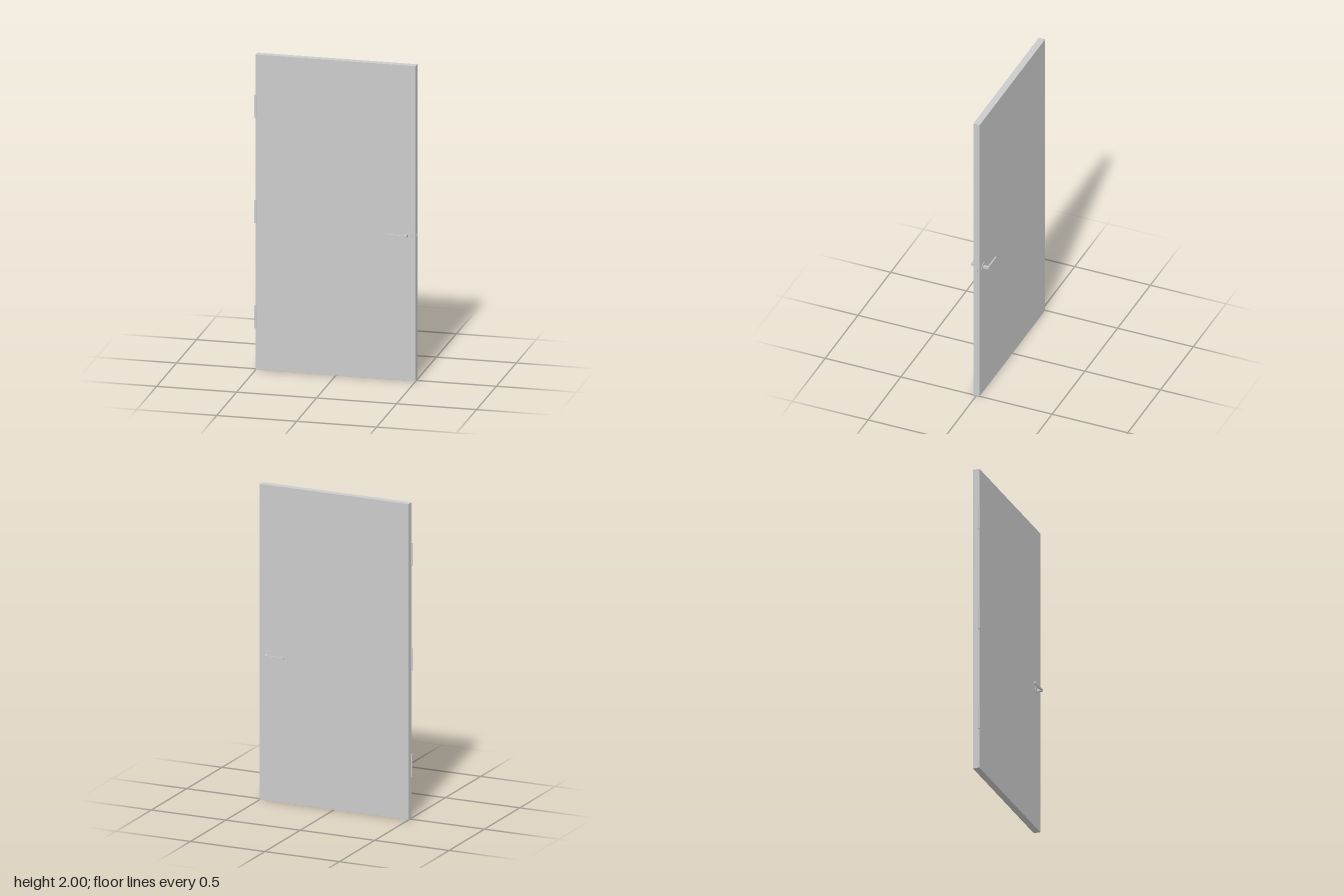
import * as THREE from 'three';

const material = new THREE.MeshStandardMaterial({ color: 0xcccccc });
const HALF = 0.021; // half the leaf thickness
const HANDLE_X = 0.445, HANDLE_Y = 0.922;

function add(parent, name, geometry, x = 0, y = 0, z = 0) {
  const mesh = new THREE.Mesh(geometry, material);
  mesh.name = name;
  mesh.position.set(x, y, z);
  parent.add(mesh);
  return mesh;
}

// Rosette, neck and lever, built facing +z
function createHandle(name) {
  const handle = new THREE.Group();
  handle.name = name;
  const rosette = new THREE.CylinderGeometry(0.029, 0.029, 0.004, 32).rotateX(Math.PI / 2);
  add(handle, 'rosette', rosette, 0, 0, 0.001);

  // L-shaped plan (x, depth), extruded through the lever height
  const plan = new THREE.Shape([
    [-0.007, 0], [0.007, 0], [0.007, 0.037], [-0.118, 0.037], [-0.118, 0.029], [-0.007, 0.029],
  ].map(([x, d]) => new THREE.Vector2(x, d)));
  const lever = new THREE.ExtrudeGeometry(plan, { depth: 0.016, bevelEnabled: false });
  lever.translate(0, 0, -0.008).rotateX(Math.PI / 2);
  add(handle, 'lever', lever);
  return handle;
}

export function createModel() {
  const door = new THREE.Group();
  door.name = 'door';
  add(door, 'leaf', new THREE.BoxGeometry(1, 2, HALF * 2), 0, 1, 0);

  // Three hinge barrels on the front edge
  [0.335, 1.005, 1.672].forEach((y, i) =>
    add(door, `hinge${i + 1}`, new THREE.CylinderGeometry(0.006, 0.006, 0.146, 16), -0.5, y, 0.019));

  // Handles on both faces
  for (const side of [1, -1]) {
    const handle = createHandle(side > 0 ? 'frontHandle' : 'backHandle');
    handle.position.set(HANDLE_X, HANDLE_Y, side * HALF);
    if (side < 0) {
      // Turn half round the lever's own axis so it still points to -x
      handle.rotation.x = Math.PI;
    }
    door.add(handle);
  }

  // Wedge-shaped latch bolt on the closing edge
  const wedge = new THREE.Shape([
    new THREE.Vector2(-0.01, -0.006), new THREE.Vector2(0.002, -0.006), new THREE.Vector2(-0.01, 0.006),
  ]);
  const bolt = new THREE.ExtrudeGeometry(wedge, { depth: 0.018, bevelEnabled: false });
  bolt.translate(0, 0, -0.009).rotateX(Math.PI / 2);
  add(door, 'latchBolt', bolt, 0.501, HANDLE_Y, 0);
  return door;
}
